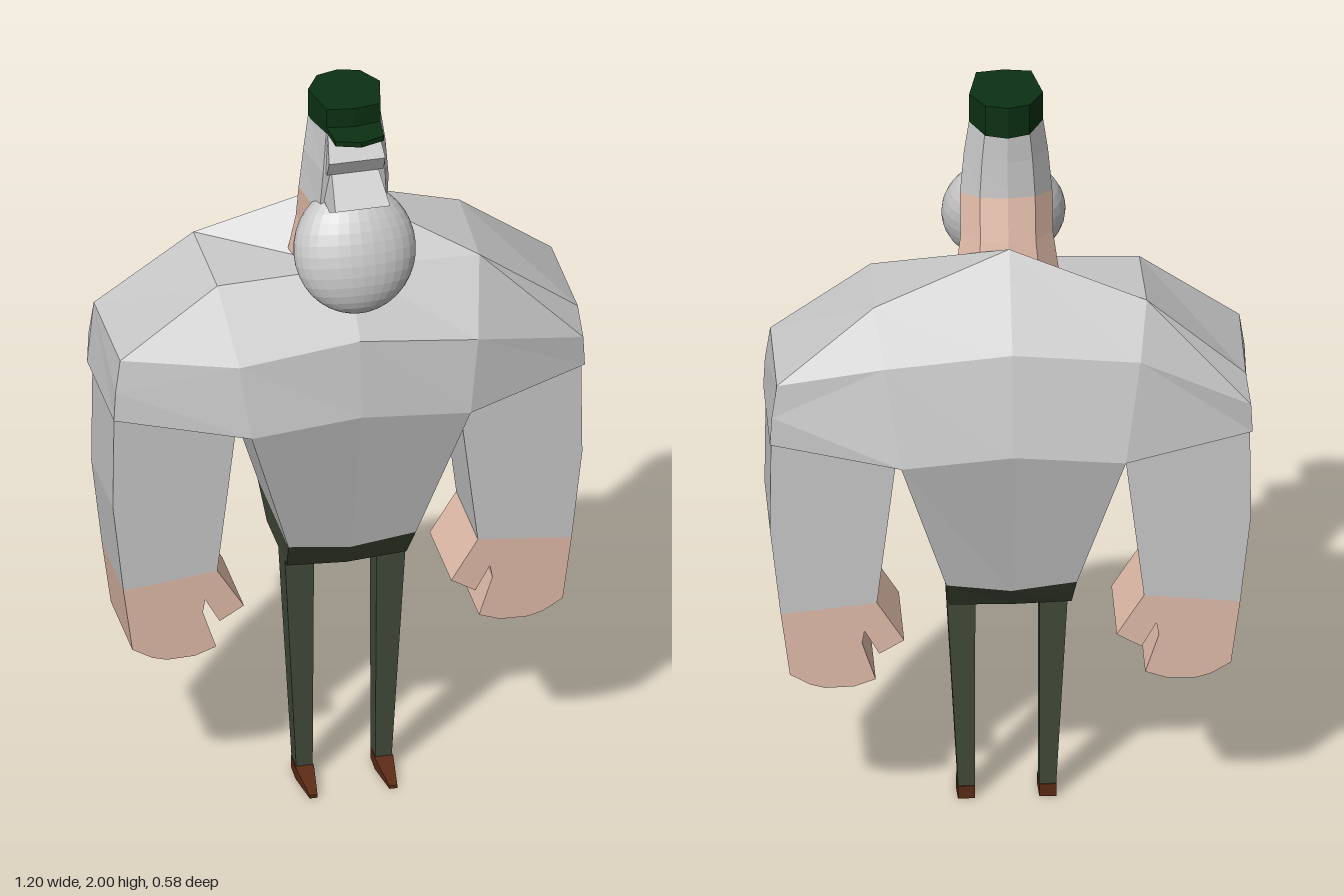
import * as THREE from 'three';

const paint = (name, color) => Object.assign(new THREE.MeshStandardMaterial({ color }), { name });

// Faceted loft through rings of [x, y, z] points, capped at both ends, always facing outward
function loft(rings) {
  const tris = [], n = rings[0].length;
  for (let r = 0; r < rings.length - 1; r++) {
    for (let i = 0; i < n; i++) {
      const j = (i + 1) % n, a = rings[r], b = rings[r + 1];
      tris.push([a[i], a[j], b[j]], [a[i], b[j], b[i]]);
    }
  }
  const first = rings[0], last = rings[rings.length - 1];
  for (let i = 1; i < n - 1; i++) {
    tris.push([first[0], first[i + 1], first[i]], [last[0], last[i], last[i + 1]]);
  }
  const v = tris.map(t => t.map(p => new THREE.Vector3(...p)));
  const volume = v.reduce((s, [a, b, c]) => s + a.dot(b.clone().cross(c)), 0);
  if (volume < 0) v.forEach(t => t.reverse());
  const geo = new THREE.BufferGeometry().setFromPoints(v.flat());
  geo.computeVertexNormals();
  return geo;
}

// Rectangular ring at height y
const rect = (y, x0, x1, z0, z1) => [[x0, y, z0], [x1, y, z0], [x1, y, z1], [x0, y, z1]];

// Eight-sided ring; front and back heights may differ
const octagon = (yBack, yFront, w, z0, z1) => [
  [-w * 0.6, z0 + 0.015], [0, z0], [w * 0.6, z0 + 0.015], [w, (z0 + z1) / 2 - 0.02],
  [w * 0.75, z1 - 0.01], [0, z1], [-w * 0.75, z1 - 0.01], [-w, (z0 + z1) / 2 - 0.02],
].map(([x, z]) => [x, yBack + (yFront - yBack) * (z - z0) / (z1 - z0), z]);

// Eight-point waist ring made from a centre line and corners
const bodyRing = (w, yMid, ySide, front, back, frontMid, backMid) => [
  [0, yMid, frontMid], [w, ySide, front], [w, ySide, back],
  [0, yMid, backMid], [-w, ySide, back], [-w, ySide, front],
];

// Extrudes an x-y outline from z0 to z1
function slab(points, z0, z1) {
  const shape = new THREE.Shape(points.map(p => new THREE.Vector2(...p)));
  return new THREE.ExtrudeGeometry(shape, { depth: z1 - z0, bevelEnabled: false }).translate(0, 0, z0);
}

export function createModel() {
  const grey = paint('light grey', 0xc8c8c8);
  const skin = paint('skin', 0xe0bba9);
  const trousers = paint('dark olive', 0x424a39);
  const green = paint('dark green', 0x0c3012);
  const brown = paint('brown', 0x5a2a14);

  const model = new THREE.Group();
  const add = (name, geo, mat, parent = model) => {
    const mesh = new THREE.Mesh(geo, mat);
    mesh.name = name;
    parent.add(mesh);
    return mesh;
  };

  // Shoulders and chest, lofted from one shoulder to the other
  const cap = s => [
    [s * 0.585, 1.31, -0.175], [s * 0.585, 1.31, 0.115], [s * 0.598, 1.22, 0.12],
    [s * 0.602, 1.14, 0.12], [s * 0.602, 1.14, -0.175], [s * 0.598, 1.22, -0.178],
  ];
  const side = s => [
    [s * 0.34, 1.505, -0.135], [s * 0.335, 1.49, 0.108], [s * 0.305, 1.315, 0.225],
    [s * 0.28, 1.12, 0.25], [s * 0.28, 1.12, -0.28], [s * 0.32, 1.375, -0.222],
  ];
  const middle = [
    [0, 1.63, -0.08], [0, 1.5, 0.11], [0, 1.36, 0.24],
    [0, 1.15, 0.26], [0, 1.15, -0.29], [0, 1.41, -0.23],
  ];
  add('chest', loft([cap(-1), side(-1), middle, side(1), cap(1)]), grey);

  // Tapering belly and hips
  const waist = bodyRing(0.163, 0.7, 0.73, 0.15, -0.19, 0.135, -0.175);
  add('belly', loft([bodyRing(0.28, 1.15, 1.12, 0.25, -0.28, 0.26, -0.29), waist]), grey);
  add('hips', loft([waist, bodyRing(0.153, 0.63, 0.64, 0.09, -0.13, 0.09, -0.12)]), trousers);

  // Arms and hands
  const handOutline = [
    [0.573, 0.63], [0.55, 0.455], [0.5, 0.425], [0.462, 0.414], [0.39, 0.416], [0.336, 0.435],
    [0.37, 0.54], [0.364, 0.575], [0.327, 0.508], [0.265, 0.545], [0.333, 0.655],
  ];
  for (const s of [-1, 1]) {
    const label = s > 0 ? 'left' : 'right';
    const arm = new THREE.Group();
    arm.name = label + 'Arm';
    model.add(arm);
    const z0 = -0.138, z1 = 0.1;
    const wrist = [
      [s * 0.333, 0.655, z0], [s * 0.573, 0.63, z0], [s * 0.573, 0.63, z1], [s * 0.333, 0.655, z1],
    ];
    add(label + 'Sleeve', loft([
      rect(1.15, s * 0.275, s * 0.597, z0, z1), rect(0.875, s * 0.307, s * 0.6, z0, z1), wrist,
    ]), grey, arm);
    add(label + 'Hand', slab(handOutline.map(([x, y]) => [s * x, y]), z0, z1), skin, arm);

    // Legs and pointed shoes
    add(label + 'Leg', loft([
      rect(0.66, s * 0.08, s * 0.155, 0, 0.075), rect(0.03, s * 0.08, s * 0.122, 0.008, 0.06),
    ]), trousers);
    add(label + 'Shoe', loft([
      [[s * 0.08, 0, 0.005], [s * 0.123, 0, 0.005], [s * 0.123, 0.035, 0.005], [s * 0.08, 0.035, 0.005]],
      [[s * 0.078, 0, 0.065], [s * 0.125, 0, 0.065], [s * 0.125, 0.033, 0.065], [s * 0.078, 0.033, 0.065]],
      [[s * 0.092, 0, 0.165], [s * 0.112, 0, 0.165], [s * 0.112, 0.009, 0.165], [s * 0.092, 0.009, 0.165]],
    ]), brown);
  }

  // Neck and head
  const jaw = octagon(1.74, 1.69, 0.115, -0.018, 0.17);
  add('neck', loft([octagon(1.53, 1.48, 0.13, -0.075, 0.12), octagon(1.63, 1.6, 0.115, -0.05, 0.14), jaw]), skin);
  add('head', loft([jaw, octagon(1.84, 1.82, 0.105, -0.012, 0.18), octagon(1.94, 1.94, 0.09, -0.01, 0.168)]), grey);

  // Brow and broad wedge nose, as side profiles given by half width, height and depth
  const wedge = (name, profile) => add(name, loft([-1, 1].map(s => profile.map(([w, y, z]) => [s * w, y, z]))), grey);
  wedge('brow', [[0.065, 1.925, 0.15], [0.065, 1.92, 0.165], [0.072, 1.865, 0.206], [0.072, 1.82, 0.183], [0.072, 1.82, 0.14]]);
  wedge('nose', [[0.06, 1.83, 0.14], [0.06, 1.82, 0.185], [0.07, 1.762, 0.268], [0.075, 1.735, 0.22], [0.075, 1.735, 0.14]]);

  // Round beard, leaning back at the top
  const beardShape = new THREE.SphereGeometry(1, 32, 18).scale(0.155, 0.165, 0.1).rotateX(-0.35).toNonIndexed();
  beardShape.computeVertexNormals();
  add('beard', beardShape, grey).position.set(0, 1.595, 0.177);

  // Cap with a flat peak
  add('capCrown', loft([octagon(1.913, 1.932, 0.092, -0.018, 0.175), octagon(2, 2, 0.092, -0.018, 0.175)]), green);
  const peak = y => [[-0.075, y, 0.1], [0.075, y, 0.1], [0.062, y, 0.235], [0, y, 0.255], [-0.062, y, 0.235]];
  add('capPeak', loft([peak(1.934), peak(1.948)]), green);

  return model;
}
